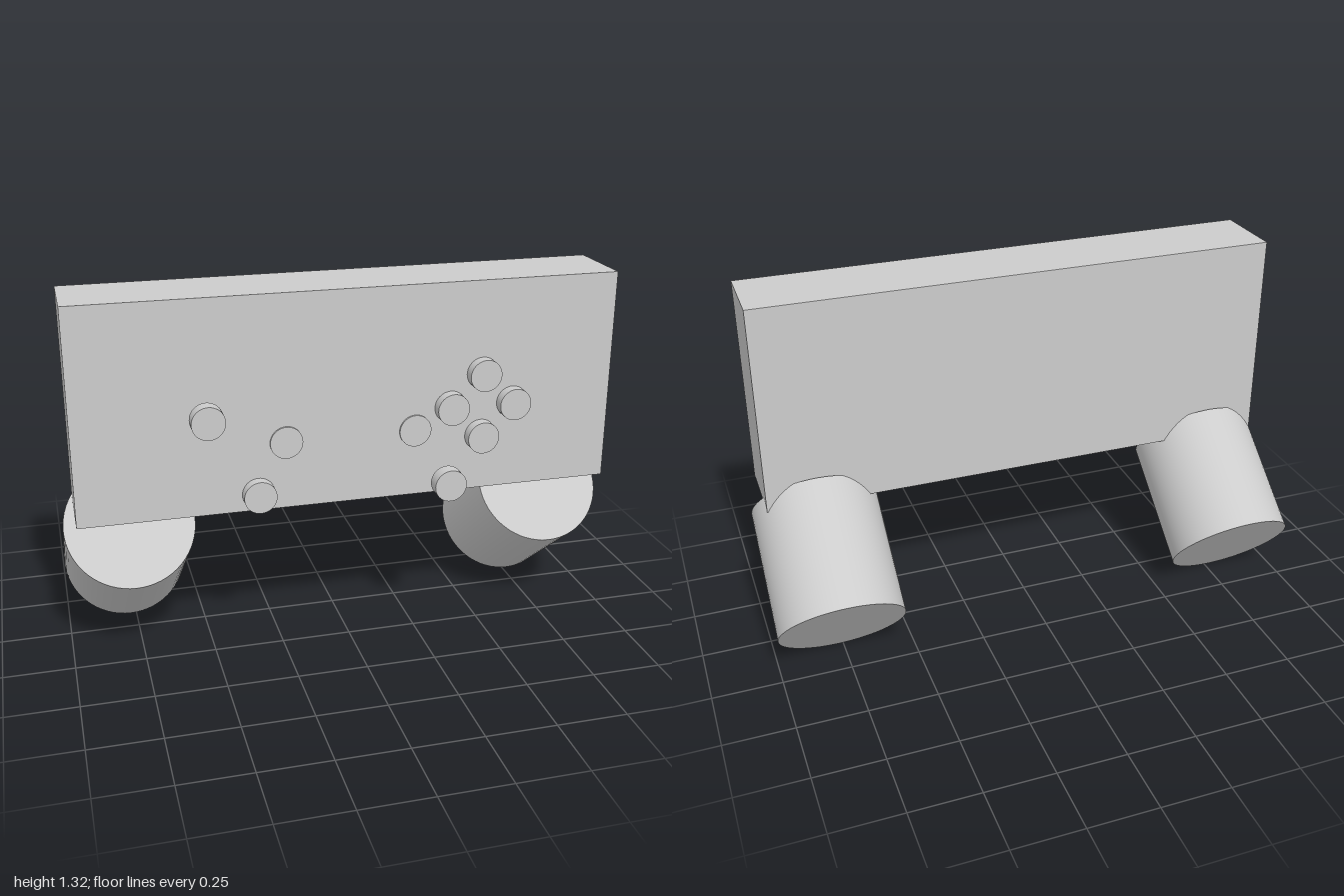
import * as THREE from 'three';

export function createModel() {
  const model = new THREE.Group();
  const grey = new THREE.MeshStandardMaterial({ color: 0xcccccc });
  grey.name = 'light grey';

  const add = (name, geometry, x, y, z, tilt = 0) => {
    const mesh = new THREE.Mesh(geometry, grey);
    mesh.name = name;
    mesh.position.set(x, y, z);
    mesh.rotation.x = tilt;
    model.add(mesh);
  };

  // Slab body
  add('body', new THREE.BoxGeometry(1.916, 0.765, 0.28), 0, 0.936, 0.145);

  // Tilted hand grips, sloping down and back
  const grip = new THREE.CylinderGeometry(0.23, 0.23, 0.485, 64);
  add('leftGrip', grip, 0.77, 0.333, -0.0525, 0.9);
  add('rightGrip', grip, -0.77, 0.333, -0.0525, 0.9);

  // Round controls: name, x, y and z of the front face
  const button = new THREE.CylinderGeometry(0.0575, 0.0575, 0.05, 48);
  const controls = [
    ['rightStick', -0.515, 0.924, 0.39],
    ['leftStick', 0.33, 0.615, 0.39],
    ['directionPad', -0.335, 0.615, 0.325],
    ['rightMenuButton', -0.235, 0.795, 0.292],
    ['leftMenuButton', 0.227, 0.795, 0.292],
    ['topButton', 0.47, 0.987, 0.325],
    ['bottomButton', 0.47, 0.757, 0.325],
    ['innerButton', 0.355, 0.872, 0.325],
    ['outerButton', 0.585, 0.872, 0.325],
  ];
  for (const [name, x, y, front] of controls) {
    add(name, button, x, y, front - 0.025, Math.PI / 2);
  }

  return model;
}
